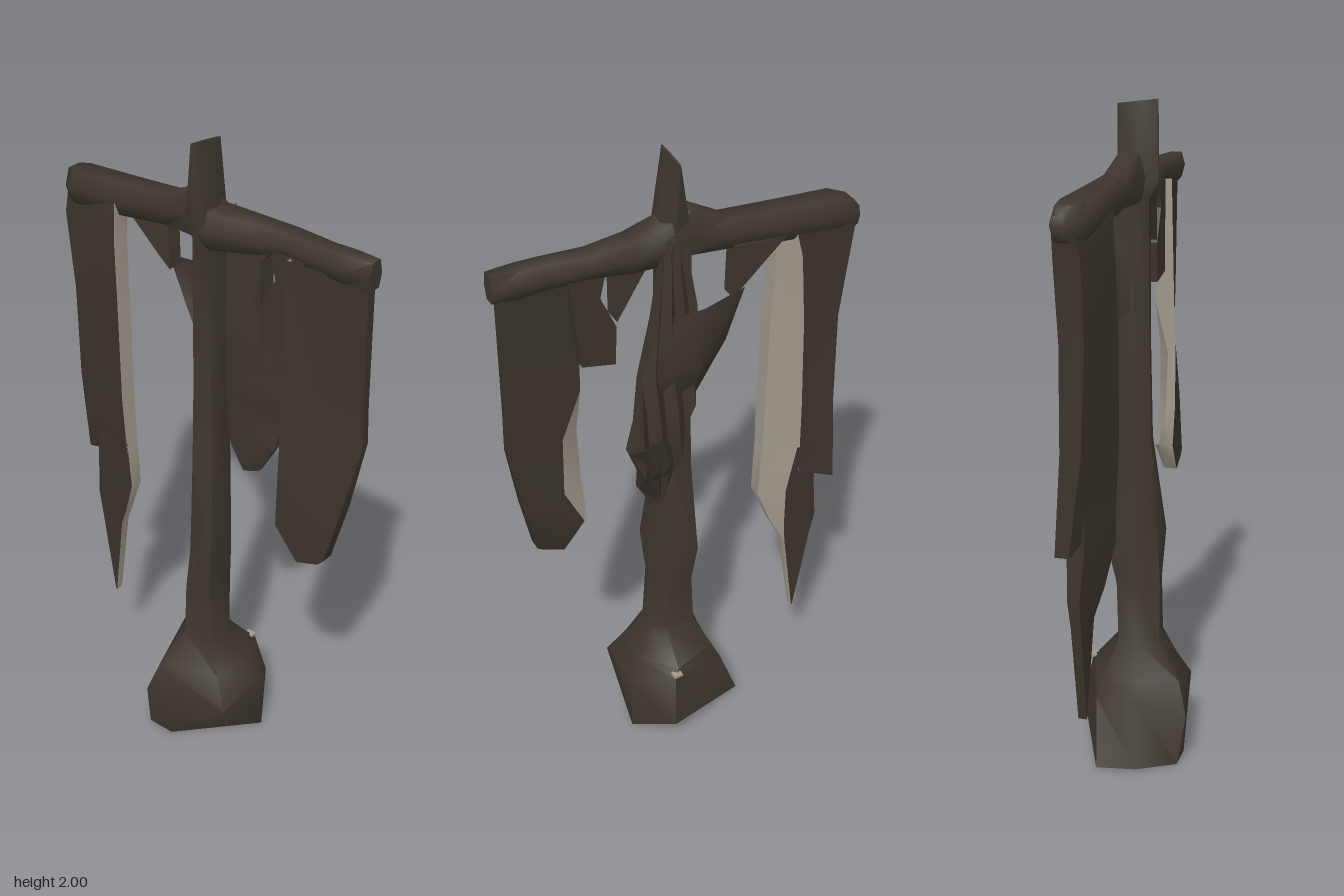
import * as THREE from 'three';
import { toCreasedNormals } from 'three/addons/utils/BufferGeometryUtils.js';

const wood = new THREE.MeshStandardMaterial({ color: 0x3d362d });
wood.name = 'dark wood';
const cloth = new THREE.MeshStandardMaterial({ color: 0x3b332b, side: THREE.DoubleSide });
cloth.name = 'dark cloth';
const lining = new THREE.MeshStandardMaterial({ color: 0x9f978a, side: THREE.DoubleSide });
lining.name = 'pale lining';

// Skin through rows of [x, y, z] points; closed rows are capped at both ends
function loft(rows, closed, crease = 0.7) {
  const n = rows[0].length, pos = [];
  const tri = (a, b, c) => pos.push(...a, ...b, ...c);
  for (let r = 0; r < rows.length - 1; r++) {
    for (let i = 0; i < (closed ? n : n - 1); i++) {
      const j = (i + 1) % n, a = rows[r], b = rows[r + 1];
      tri(a[i], a[j], b[i]);
      tri(a[j], b[j], b[i]);
    }
  }
  if (closed) {
    const first = rows[0], last = rows[rows.length - 1];
    for (let i = 1; i < n - 1; i++) {
      tri(first[0], first[i + 1], first[i]);
      tri(last[0], last[i], last[i + 1]);
    }
  }
  const g = new THREE.BufferGeometry();
  g.setAttribute('position', new THREE.Float32BufferAttribute(pos, 3));
  g.computeVertexNormals();
  return toCreasedNormals(g, crease);
}

// Flat piece cut from a (z, y) outline, spanning x0 to x1
function slab(outline, x0, x1) {
  const shape = new THREE.Shape(outline.map(([z, y]) => new THREE.Vector2(z, y)));
  const g = new THREE.ExtrudeGeometry(shape, { depth: x1 - x0, bevelEnabled: false });
  return g.rotateY(-Math.PI / 2).translate(x1, 0, 0);
}

function add(parent, name, geometry, material) {
  const mesh = new THREE.Mesh(geometry, material);
  mesh.name = name;
  parent.add(mesh);
}

// Six-sided ring from x and z limits
function hex(y, x0, x1, z0, z1) {
  const cx = (x0 + x1) / 2, cz = (z0 + z1) / 2, rx = (x1 - x0) / 2, rz = (z1 - z0) / 2;
  return [[1, 0.45], [0.8, -0.8], [-0.2, -1], [-1, -0.45], [-0.8, 0.8], [0.2, 1]]
    .map(([u, v]) => [cx + u * rx, y, cz + v * rz]);
}

// Hanging cloth, dark around the back and outer edge, pale on the turned inner edge
// rows: [inner y, outer y, inner z, outer z, fold z, inner x far, inner x near, fold x, outer x far, outer x near]
function hanging(parent, name, rows) {
  const g = new THREE.Group();
  g.name = name;
  const foldY = (yi, yo, zi, zo, zm) => THREE.MathUtils.lerp(yi, yo, (zm - zi) / (zo - zi));
  add(g, 'darkCloth', loft(rows.map(([yi, yo, zi, zo, zm, xa, , xm, e0, e1]) =>
    [[xm, foldY(yi, yo, zi, zo, zm), zm], [e1, yo, zo], [e0, yo, zo], [xa, yi, zi]]), false), cloth);
  add(g, 'paleLining', loft(rows.map(([yi, yo, zi, zo, zm, xa, xb, xm]) =>
    [[xa, yi, zi], [xb, yi, zi], [xm, foldY(yi, yo, zi, zo, zm), zm]]), false), lining);
  parent.add(g);
}

export function createModel() {
  const model = new THREE.Group();
  model.name = 'drapedPost';

  // Lumpy foot flowing into the post, ending in a wedge
  add(model, 'postAndFoot', loft([
    [[0.19, 0.09, 0.1], [0.06, 0.005, -0.195], [-0.06, 0.005, -0.175],
      [-0.17, 0, -0.1], [-0.17, 0, -0.01], [0.05, 0, 0.19]],
    [[0.15, 0.25, 0.08], [0.08, 0.2, -0.12], [-0.04, 0.21, -0.12],
      [-0.195, 0.16, -0.09], [-0.145, 0.18, 0.185], [0.05, 0.2, 0.19]],
    [[0.13, 0.27, 0.06], [0.07, 0.26, -0.09], [-0.04, 0.26, -0.1],
      [-0.165, 0.26, -0.06], [-0.11, 0.27, 0.13], [0.03, 0.27, 0.15]],
    hex(0.37, -0.09, 0.045, -0.06, 0.1),
    hex(0.55, -0.09, 0.055, -0.045, 0.085),
    [[0.07, 0.7, 0.04], [0.075, 0.7, -0.035], [0, 0.7, -0.035],
      [-0.08, 0.7, 0], [-0.085, 0.7, 0.085], [0.02, 0.7, 0.08]],
    hex(1.0, -0.06, 0.06, -0.035, 0.07),
    hex(1.27, -0.055, 0.055, -0.03, 0.06),
    hex(1.72, -0.052, 0.05, -0.035, 0.06),
    hex(1.77, -0.08, 0.05, -0.035, 0.055),
    hex(1.985, -0.075, 0.045, 0.003, 0.012).map(([x, y, z]) => [x, y - x * 0.12 + 0.004, z]),
  ], true, 1.1), wood);

  // Crossbar: [z, x0, x1, y0, y1]
  add(model, 'crossbar', loft([
    [-0.545, 0.025, 0.065, 1.69, 1.745], [-0.525, -0.005, 0.072, 1.67, 1.77],
    [-0.48, -0.04, 0.08, 1.68, 1.78],
    [-0.3, -0.035, 0.07, 1.69, 1.79], [-0.13, -0.035, 0.065, 1.71, 1.8],
    [-0.03, -0.045, 0.05, 1.71, 1.85], [0.05, -0.08, 0.06, 1.7, 1.81],
    [0.15, -0.05, 0.07, 1.71, 1.8], [0.27, -0.03, 0.07, 1.73, 1.795],
    [0.4, -0.035, 0.05, 1.72, 1.795], [0.47, -0.035, 0.05, 1.715, 1.795],
    [0.545, -0.02, 0.035, 1.715, 1.795],
  ].map(([z, x0, x1, y0, y1]) => {
    const ym = (y0 + y1) / 2, w = (x1 - x0) * 0.2;
    return [[x1, ym, z], [x1 - w, y1, z], [x0 + w, y1, z], [x0, ym, z], [x0 + w, y0, z], [x1 - w, y0, z]];
  }), true, 1.2), wood);

  // Pale chip on the foot's shoulder
  add(model, 'paleChip', new THREE.BoxGeometry(0.025, 0.009, 0.03).translate(0.138, 0.258, 0.07), lining);

  // Webs under both arms
  add(model, 'backBrace', slab([[-0.31, 1.71], [-0.15, 1.72], [-0.145, 1.56], [-0.18, 1.59]], 0.01, 0.06), wood);
  add(model, 'frontBrace', slab([[0.05, 1.76], [0.25, 1.75], [0.2, 1.7], [0.2, 1.57], [0.1, 1.73]], -0.02, 0.04), wood);

  // Hangings at both ends
  hanging(model, 'backHanging', [
    [1.73, 1.73, -0.31, -0.535, -0.34, -0.035, 0.02, 0.06, 0.02, 0.065],
    [1.62, 1.64, -0.31, -0.525, -0.37, -0.04, 0.015, 0.055, -0.01, 0.065],
    [1.4, 1.4, -0.3, -0.5, -0.39, -0.045, 0.01, 0.05, -0.01, 0.06],
    [1.1, 1.1, -0.295, -0.505, -0.4, -0.045, 0.01, 0.05, 0.0, 0.06],
    [0.9, 0.81, -0.29, -0.515, -0.4, -0.035, 0.015, 0.055, 0.035, 0.075],
  ]);
  hanging(model, 'backTatter', [
    [0.95, 0.95, -0.29, -0.45, -0.39, -0.035, 0.012, 0.055, 0.01, 0.06],
    [0.78, 0.8, -0.28, -0.455, -0.36, -0.03, 0.012, 0.05, 0.01, 0.06],
    [0.66, 0.66, -0.325, -0.47, -0.36, -0.01, 0.02, 0.05, 0.02, 0.055],
    [0.58, 0.58, -0.365, -0.457, -0.368, 0.01, 0.04, 0.045, 0.02, 0.05],
    [0.28, 0.28, -0.408, -0.412, -0.409, 0.02, 0.04, 0.045, 0.02, 0.045],
  ]);
  hanging(model, 'frontHanging', [
    [1.74, 1.72, 0.3, 0.53, 0.302, -0.04, 0.01, 0.02, 0.0, 0.03],
    [1.36, 1.36, 0.3, 0.535, 0.305, -0.05, -0.015, 0.01, 0.005, 0.03],
    [1.2, 1.24, 0.305, 0.54, 0.365, -0.055, -0.03, 0.01, 0.01, 0.03],
    [1.02, 1.02, 0.3, 0.5, 0.37, -0.055, -0.025, 0.012, -0.02, 0.02],
    [0.9, 0.84, 0.295, 0.46, 0.31, -0.05, -0.005, 0.01, -0.04, 0.0],
    [0.8, 0.82, 0.37, 0.44, 0.375, -0.045, -0.01, 0.0, -0.04, -0.01],
  ]);

  // Short rag beside the front hanging
  add(model, 'shortRag', slab([[0.34, 1.74], [0.31, 1.46], [0.21, 1.44], [0.205, 1.56], [0.25, 1.66], [0.23, 1.74]], -0.02, 0.045), cloth);

  // Pleated bundle on the post, slanting outwards: [y, back z, front z, inner x, outer x]
  add(model, 'pleatedBundle', loft([
    [0.95, 0.09, 0.13, 0.06, 0.1], [1.04, 0.06, 0.18, 0.04, 0.13],
    [1.12, 0.05, 0.19, 0.03, 0.18], [1.2, 0.03, 0.22, 0.02, 0.18],
    [1.28, 0.0, 0.19, 0.0, 0.17], [1.4, -0.03, 0.16, -0.02, 0.13],
    [1.57, -0.03, 0.11, -0.03, 0.11], [1.78, -0.01, 0.06, -0.03, 0.07],
  ].map(([y, zb, zf, xi, xo], r) => {
    const ring = [], w = xo - xi;
    for (let i = 0; i < 7; i++) {
      const out = ((i + r) % 2 ? 0.8 : 1) * (1 - i * 0.05);
      ring.push([xi + w * out, y + (i % 2 ? 0.02 : 0), zf + (zb - zf) * i / 6]);
    }
    ring.push([xi, y, zb], [xi + w * 0.2, y, (zb + zf) / 2], [xi + w * 0.6, y, zf]);
    return ring;
  }), true, 0.3), cloth);

  // Loose flap spreading backwards from the bundle
  add(model, 'looseFlap', loft([
    [[0.05, 1.27, -0.035], [0.08, 1.27, 0.02], [0.08, 1.27, 0.1]],
    [[0.06, 1.43, -0.125], [0.125, 1.4, -0.01], [0.12, 1.4, 0.13]],
    [[0.055, 1.58, -0.185], [0.09, 1.57, -0.04], [0.08, 1.56, 0.1]],
  ], false), cloth);

  return model;
}
